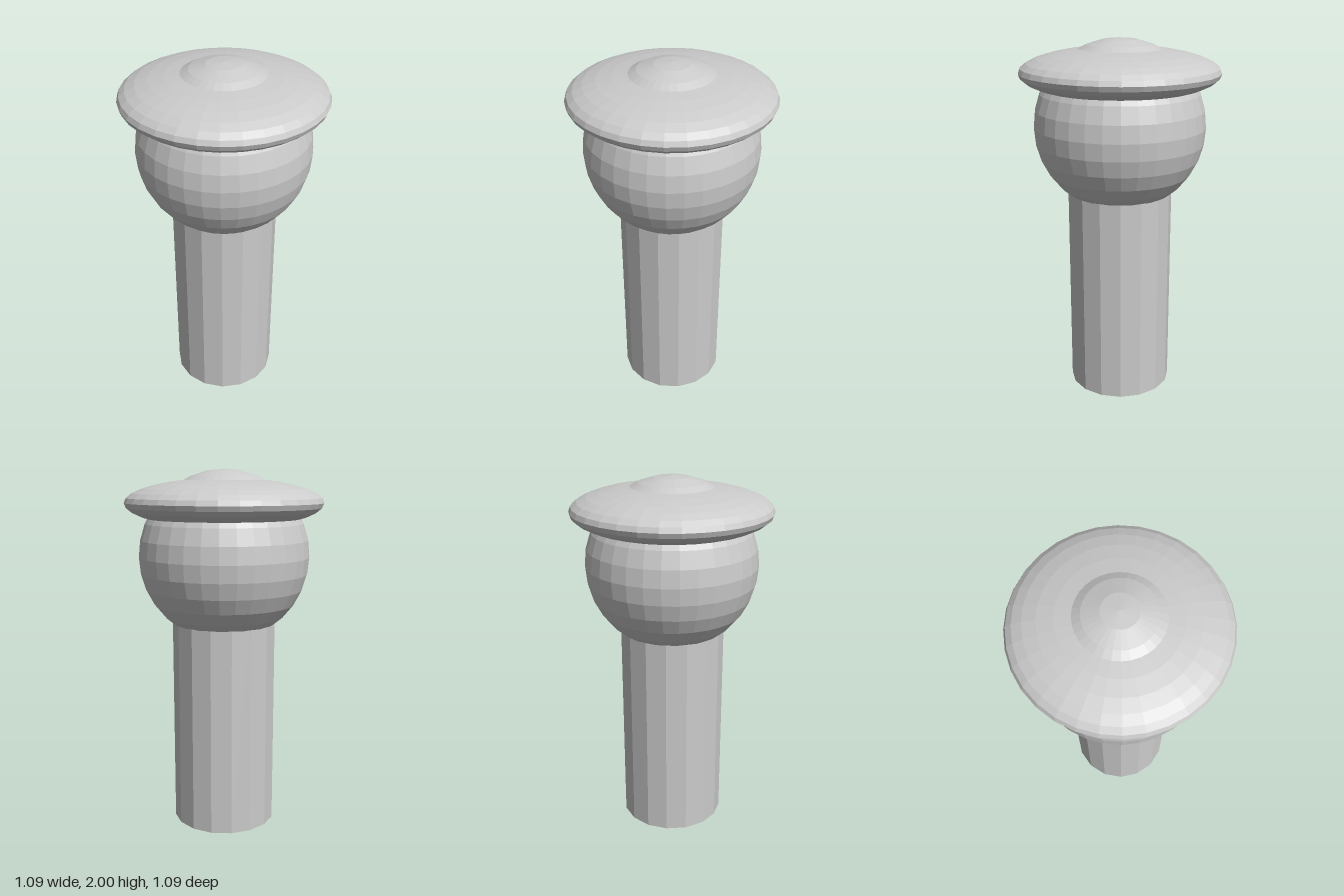
import * as THREE from 'three';

const material = new THREE.MeshStandardMaterial({ color: 0xcccccc, flatShading: true });

function addPart(group, name, geometry, y) {
  const mesh = new THREE.Mesh(geometry, material);
  mesh.name = name;
  mesh.position.y = y;
  group.add(mesh);
  return mesh;
}

export function createModel() {
  const model = new THREE.Group();
  model.name = 'capPost';

  // Sixteen-sided post, its top sunk into the ball
  const postHeight = 1.3;
  addPart(model, 'post', new THREE.CylinderGeometry(0.29, 0.29, postHeight, 16), postHeight / 2);

  // Ball; its crown pokes through the brim as the top button
  addPart(model, 'ball', new THREE.SphereGeometry(0.47, 32, 16), 1.53);

  // Flattened ball forming the wide brim
  const brim = new THREE.SphereGeometry(0.543, 32, 16).scale(1, 0.134 / 0.543, 1);
  addPart(model, 'brim', brim, 1.82);

  return model;
}
